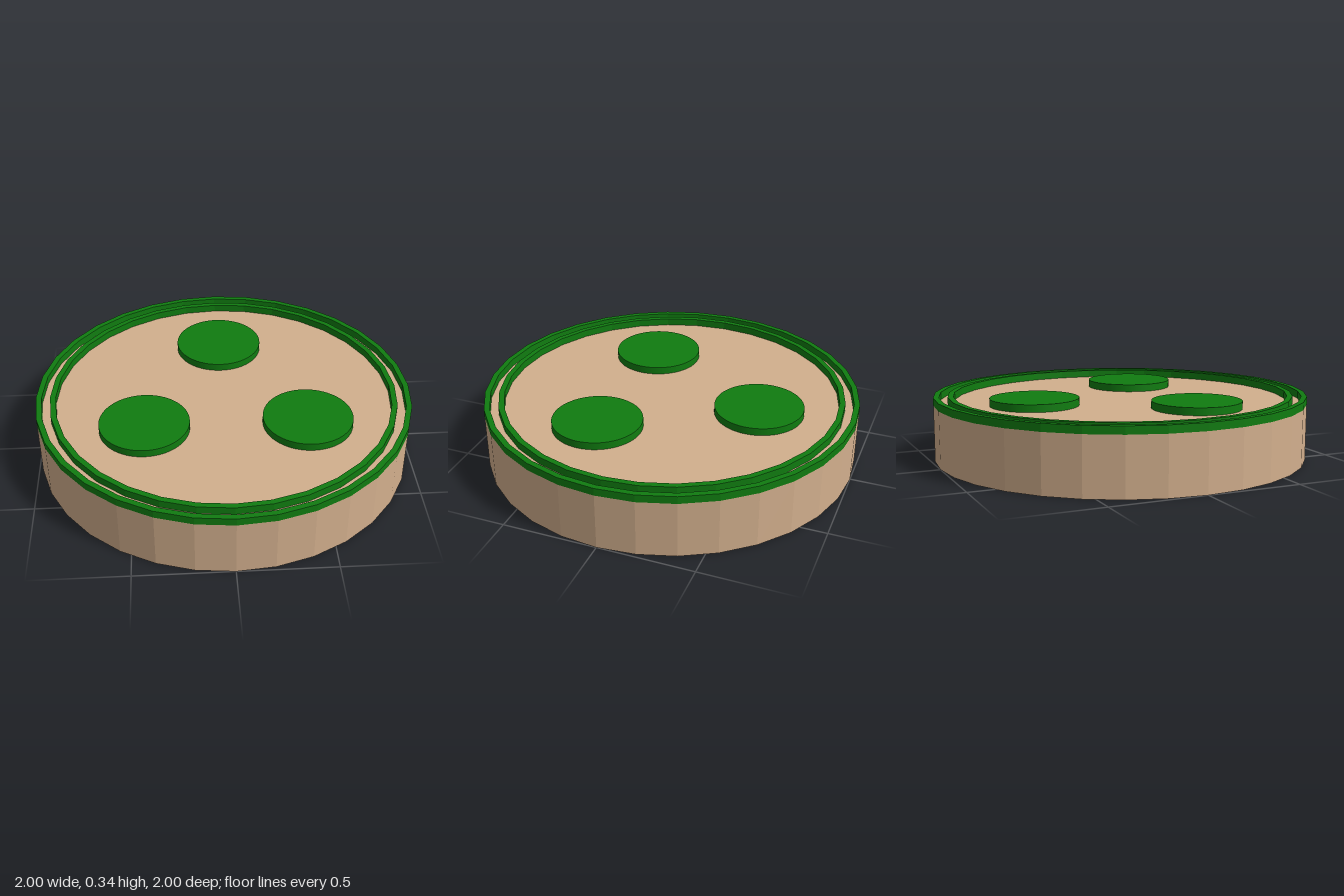
import * as THREE from 'three';

const SIDES = 32;
const FLOOR = 0.3;   // top of the body
const RAISE = 0.04;  // height of rims and pads

const tan = new THREE.MeshStandardMaterial({ color: 0xd2af8d });
tan.name = 'tan';
const green = new THREE.MeshStandardMaterial({ color: 0x107c10 });
green.name = 'green';

// Give every facet its own normal
function faceted(geometry) {
  const flat = geometry.toNonIndexed();
  flat.computeVertexNormals();
  return flat;
}

// Square-edged ring standing on the body
function ringGeometry(inner, outer) {
  const profile = [
    [inner, 0], [outer, 0], [outer, RAISE], [inner, RAISE], [inner, 0],
  ].map(([r, y]) => new THREE.Vector2(r, y));
  return faceted(new THREE.LatheGeometry(profile, SIDES));
}

export function createModel() {
  const model = new THREE.Group();
  model.name = 'roundBase';

  const add = (name, geometry, material, x, y, z) => {
    const mesh = new THREE.Mesh(geometry, material);
    mesh.name = name;
    mesh.position.set(x, y, z);
    model.add(mesh);
  };

  // Drum-shaped body
  add('body', faceted(new THREE.CylinderGeometry(1, 1, FLOOR, SIDES)), tan, 0, FLOOR / 2, 0);

  // Two concentric rims
  add('outerRim', ringGeometry(0.97, 1), green, 0, FLOOR, 0);
  add('innerRim', ringGeometry(0.895, 0.925), green, 0, FLOOR, 0);

  // Three round pads, one at the back and two at the front
  const pad = new THREE.CylinderGeometry(0.235, 0.235, RAISE, 64);
  ['backPad', 'frontLeftPad', 'frontRightPad'].forEach((name, i) => {
    const angle = Math.PI - (i * 2 * Math.PI) / 3;
    add(name, pad, green, 0.49 * Math.sin(angle), FLOOR + RAISE / 2, 0.49 * Math.cos(angle));
  });

  return model;
}
